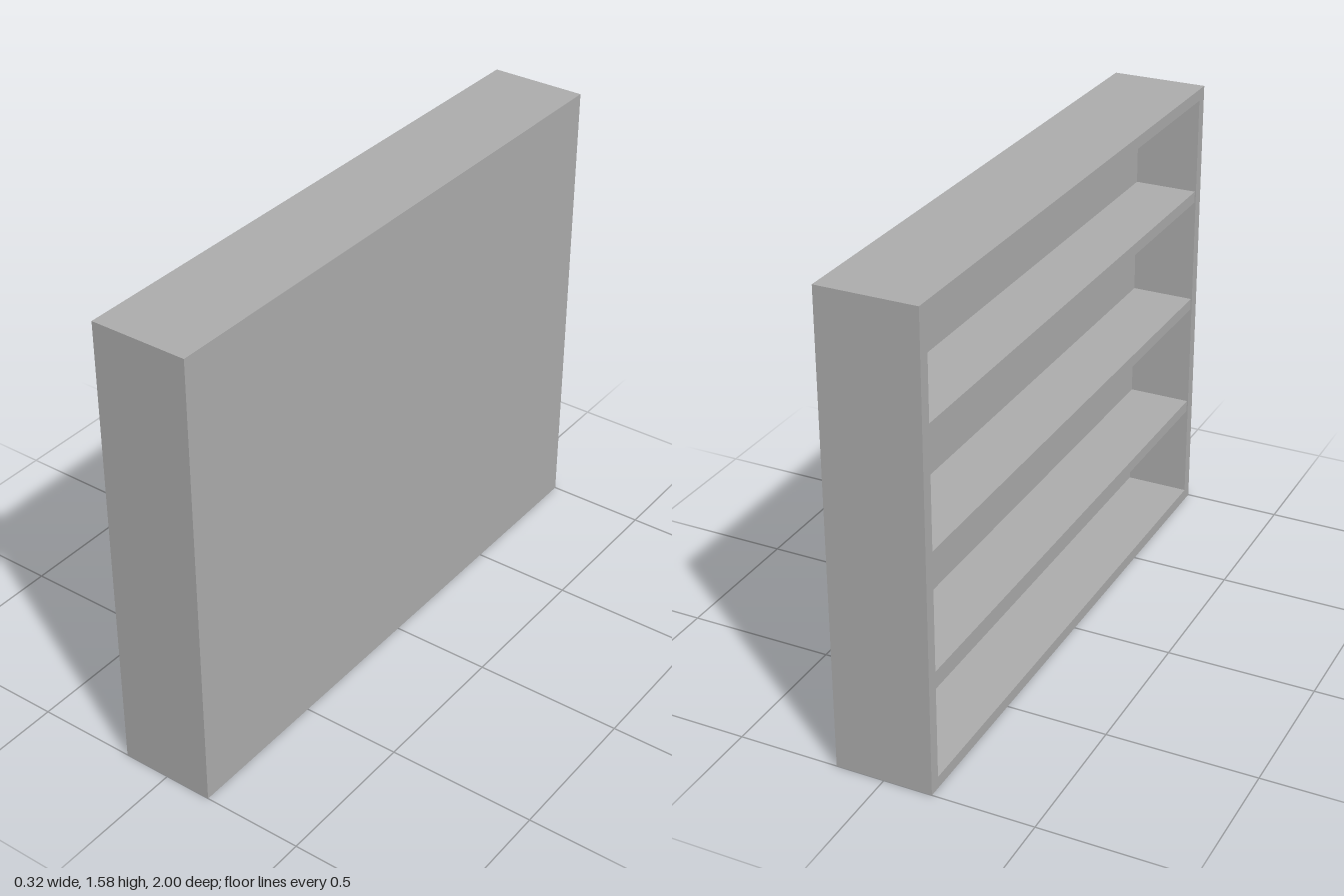
import * as THREE from 'three';

// Shallow wall shelf: open towards -x, closed by a thick back panel on +x.
const DEPTH = 0.325, HEIGHT = 1.58, LENGTH = 2, BOARD = 0.04;
const BACK = 0.105; // back panel thickness
const SHELF_HEIGHTS = [0.387, 0.79, 1.193];

export function createModel() {
  const model = new THREE.Group();
  model.name = 'shelfUnit';

  const grey = new THREE.MeshStandardMaterial({ color: 0xacacac });
  grey.name = 'grey';

  const addBoard = (name, width, height, length, x, y, z) => {
    const mesh = new THREE.Mesh(new THREE.BoxGeometry(width, height, length), grey);
    mesh.name = name;
    mesh.position.set(x, y, z);
    model.add(mesh);
  };

  // Outer frame: end walls run full height, top and base fit between them
  const innerLength = LENGTH - 2 * BOARD;
  for (const side of [1, -1]) {
    addBoard(side > 0 ? 'frontEndWall' : 'rearEndWall',
      DEPTH, HEIGHT, BOARD, 0, HEIGHT / 2, side * (LENGTH - BOARD) / 2);
  }
  addBoard('topBoard', DEPTH, BOARD, innerLength, 0, HEIGHT - BOARD / 2, 0);
  addBoard('baseBoard', DEPTH, BOARD, innerLength, 0, BOARD / 2, 0);

  // Back panel inside the frame, flush with its closed side
  addBoard('backPanel', BACK, HEIGHT - 2 * BOARD, innerLength,
    (DEPTH - BACK) / 2, HEIGHT / 2, 0);

  // Shelves from the back panel to just short of the open edge
  const shelfDepth = DEPTH - BACK - 0.004;
  SHELF_HEIGHTS.forEach((y, i) => {
    addBoard(`shelf${i + 1}`, shelfDepth, BOARD, innerLength,
      DEPTH / 2 - BACK - shelfDepth / 2, y, 0);
  });

  return model;
}
